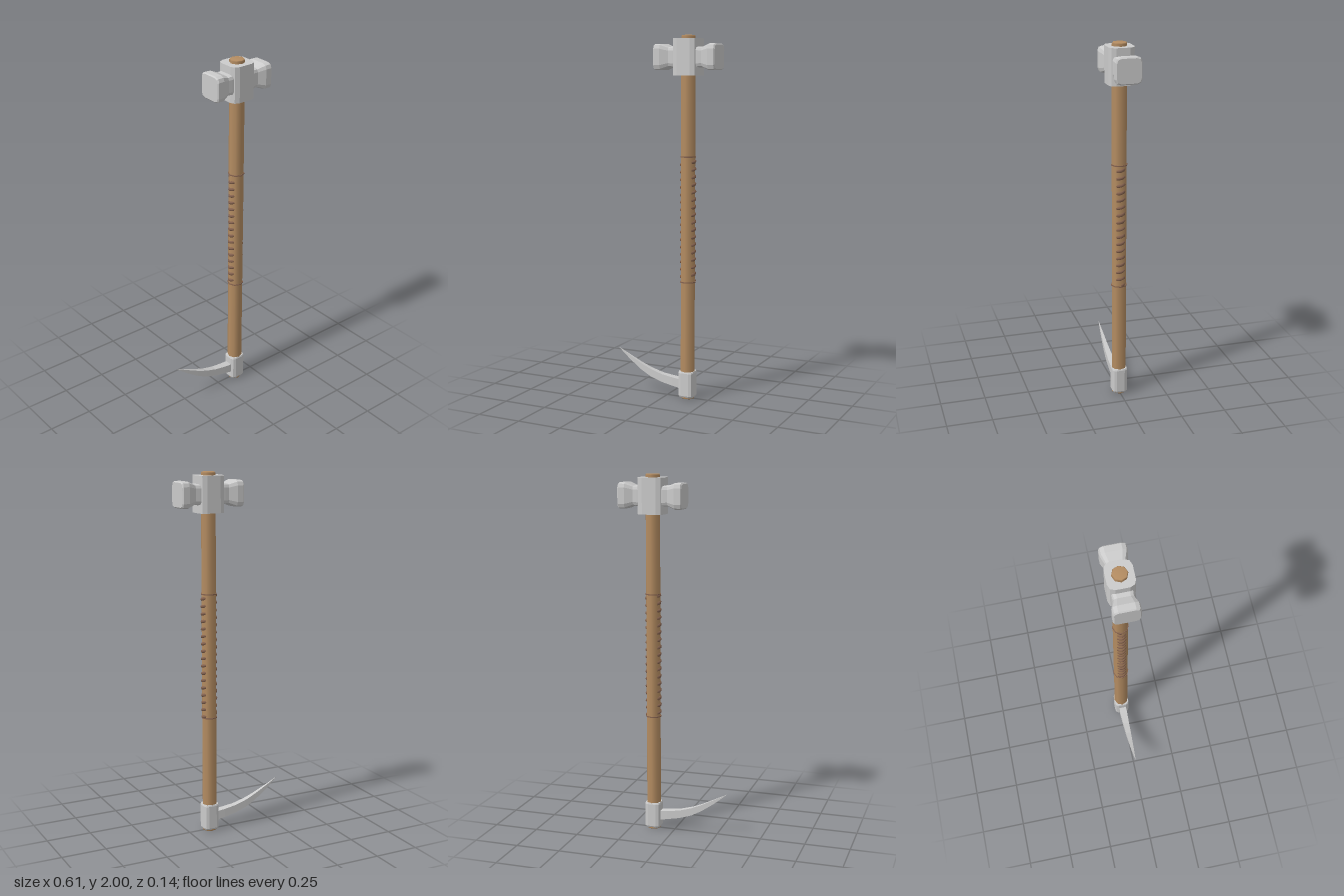
import * as THREE from 'three';

const AXIS = 0.125; // x of the shaft
const steel = new THREE.MeshStandardMaterial({ color: 0xcccccc, flatShading: true });
const wood = new THREE.MeshStandardMaterial({ color: 0xb58d62 });
const leather = new THREE.MeshStandardMaterial({ color: 0x876450 });

// Skins a list of equal-length rings (anticlockwise seen from the end) and caps both ends.
function loft(rings) {
  const n = rings[0].length, pos = [];
  const tri = (...pts) => pts.forEach(p => pos.push(p.x, p.y, p.z));
  const middle = ring => ring.reduce((s, p) => s.add(p), new THREE.Vector3()).divideScalar(n);
  const first = rings[0], last = rings[rings.length - 1];
  const c0 = middle(first), c1 = middle(last);
  for (let i = 0; i < n; i++) {
    const j = (i + 1) % n;
    for (let k = 0; k < rings.length - 1; k++) {
      const a = rings[k], b = rings[k + 1];
      tri(a[i], a[j], b[j]);
      tri(a[i], b[j], b[i]);
    }
    tri(c0, first[j], first[i]);
    tri(c1, last[i], last[j]);
  }
  const geo = new THREE.BufferGeometry();
  geo.setAttribute('position', new THREE.Float32BufferAttribute(pos, 3));
  geo.computeVertexNormals();
  return geo;
}

// Square ring with softened corners at height y, half sizes hx and hz.
function softSquare(y, hx, hz, corner) {
  const [flat, diag] = corner;
  const quarter = [[1, flat], [diag, diag], [flat, 1]];
  const ring = [];
  for (let q = 0; q < 4; q++) {
    for (const [u, v] of quarter) {
      let x = u, z = -v;
      for (let r = 0; r < q; r++) [x, z] = [z, -x];
      ring.push(new THREE.Vector3(x * hx, y, z * hz));
    }
  }
  return ring;
}

function add(group, name, geo, material, x = 0, y = 0) {
  const mesh = new THREE.Mesh(geo, material);
  mesh.name = name;
  mesh.position.set(x, y, 0);
  group.add(mesh);
  return mesh;
}

// Elliptical spiral that only stands proud on the two sides of the shaft.
class WrapSpiral extends THREE.Curve {
  constructor(y0, y1, turns) {
    super();
    Object.assign(this, { y0, y1, turns });
  }
  getPoint(t, target = new THREE.Vector3()) {
    const a = -t * this.turns * Math.PI * 2;
    return target.set(Math.cos(a) * 0.037, this.y0 + (this.y1 - this.y0) * t, Math.sin(a) * 0.025);
  }
}

export function createModel() {
  const model = new THREE.Group();
  model.name = 'warHammer';

  // Wooden shaft, eight-sided with eased ends
  const shaft = [[0, 0], [0.037, 0], [0.041, 0.006], [0.041, 1.994], [0.037, 2], [0, 2]];
  add(model, 'shaft', new THREE.LatheGeometry(shaft.map(p => new THREE.Vector2(...p)), 8), wood, AXIS);

  // Grip: spiral binding finished with a thin band at each end
  const grip = new THREE.Group();
  grip.name = 'grip';
  model.add(grip);
  add(grip, 'binding', new THREE.TubeGeometry(new WrapSpiral(0.665, 1.345, 16.5), 330, 0.01, 6), leather, AXIS);
  for (const y of [0.66, 1.35]) {
    add(grip, 'gripBand', new THREE.CylinderGeometry(0.045, 0.045, 0.006, 8), leather, AXIS, y);
  }

  // Hammer head: centre block and two mirrored flared lobes
  const head = new THREE.Group();
  head.name = 'hammerHead';
  head.position.set(AXIS, 1.884, 0);
  model.add(head);
  const block = [0.52, 0.86];
  add(head, 'headBlock', loft([-0.098, 0.098].map(y => softSquare(y, 0.074, 0.07, block))), steel);
  const profile = [[0.05, 0.056], [0.075, 0.055], [0.097, 0.053], [0.14, 0.07], [0.174, 0.07], [0.18, 0.064]];
  for (const side of [1, -1]) {
    const lobe = loft(profile.map(([d, h]) => softSquare(d, h, h, [0.62, 0.9])));
    add(head, side > 0 ? 'leftLobe' : 'rightLobe', lobe, steel).rotation.z = -side * Math.PI / 2;
  }

  // Foot collar with bevelled ends
  const collar = [[0.008, 0.04], [0.018, 0.045], [0.147, 0.045], [0.155, 0.042]];
  add(model, 'footCollar', loft(collar.map(([y, h]) => softSquare(y, h, h * 0.95, block))), steel, AXIS);

  // Curved spike: x, top edge, bottom edge, half thickness
  const stations = [
    [0.1, 0.104, 0.051, 0.022], [0.04, 0.11, 0.062, 0.021], [-0.03, 0.12, 0.075, 0.018],
    [-0.1, 0.14, 0.097, 0.015], [-0.16, 0.165, 0.129, 0.0115], [-0.23, 0.2, 0.177, 0.007],
    [-0.28, 0.226, 0.217, 0.003], [-0.304, 0.239, 0.238, 0.0007],
  ];
  const spike = loft(stations.map(([x, top, low, h]) =>
    [[top, -h], [low, -h], [low, h], [top, h]].map(([y, z]) => new THREE.Vector3(x, y, z))));
  add(model, 'spike', spike, steel);

  return model;
}
